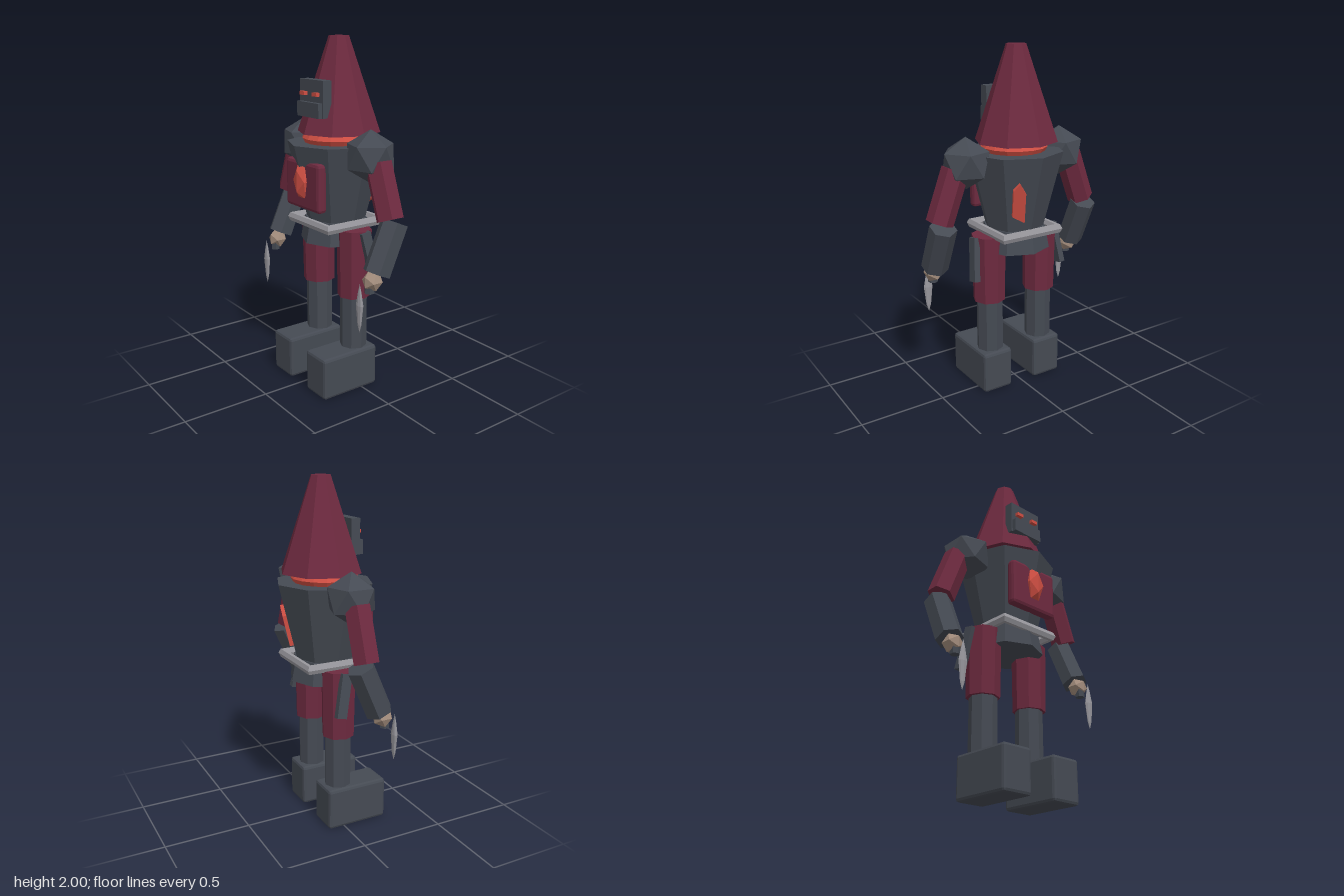
import * as THREE from 'three';
import { RoundedBoxGeometry } from 'three/addons/geometries/RoundedBoxGeometry.js';

const paint = (name, color) => {
  const m = new THREE.MeshStandardMaterial({ color, flatShading: true });
  m.name = name;
  return m;
};

export function createModel() {
  const slate = paint('slate', 0x454a53);
  const maroon = paint('maroon', 0x6d2a3f);
  const red = paint('glowing red', 0xd04f43);
  const steel = paint('steel', 0x98979d);
  const tan = paint('tan', 0xa18b7b);

  const model = new THREE.Group();
  model.name = 'hoodedFigure';

  const add = (name, geometry, material, x, y, z) => {
    const mesh = new THREE.Mesh(geometry, material);
    mesh.name = name;
    mesh.position.set(x, y, z);
    model.add(mesh);
    return mesh;
  };
  const tube = (top, bottom, height, sides) =>
    new THREE.CylinderGeometry(top, bottom, height, sides);
  const box = (w, h, d, bevel) => new RoundedBoxGeometry(w, h, d, 1, bevel);

  // Tall hood and collar
  add('hood', tube(0.056, 0.235, 0.525, 8), maroon, 0, 1.7375, -0.02);
  add('collar', new THREE.TorusGeometry(0.155, 0.035, 6, 16), red, 0, 1.445, 0)
    .rotation.x = Math.PI / 2;

  // Face plate, muzzle and eyes
  add('facePlate', new THREE.BoxGeometry(0.222, 0.2, 0.055), slate, 0, 1.67, 0.137);
  add('muzzle', new THREE.BoxGeometry(0.204, 0.08, 0.04), slate, 0, 1.61, 0.17);

  // Tapered torso, hips and square belt
  add('torso', tube(0.28, 0.165, 0.46, 8), slate, 0, 1.19, 0);
  add('hips', tube(0.18, 0.206, 0.13, 8), slate, 0, 0.92, 0);
  const beltShape = new THREE.TorusGeometry(0.255, 0.028, 6, 4);
  beltShape.rotateZ(Math.PI / 4).rotateX(Math.PI / 2);
  add('belt', beltShape, steel, 0, 0.97, 0);

  // Chest plate with its gem
  add('chestPlate', box(0.325, 0.275, 0.06, 0.02), maroon, 0, 1.197, 0.205);
  add('chestGem', new THREE.IcosahedronGeometry(1, 0), red, 0, 1.222, 0.232)
    .scale.set(0.062, 0.115, 0.042);

  // Shard set into one facet of the back
  const shardShape = new THREE.Shape([
    [-0.035, -0.08], [0.035, -0.12], [0.035, 0.06], [0.0, 0.12], [-0.035, 0.08],
  ].map(([x, y]) => new THREE.Vector2(x, y)));
  const shard = add('backShard',
    new THREE.ExtrudeGeometry(shardShape, { depth: 0.035, bevelEnabled: false }),
    red, 0.085, 1.17, -0.17);
  shard.rotation.set(0.22, Math.PI - 0.39, 0, 'YXZ');

  // Icosahedron turned so that one corner points straight up
  const shoulderShape = new THREE.IcosahedronGeometry(0.145, 0);
  shoulderShape.rotateZ(-Math.atan2(1, (1 + Math.sqrt(5)) / 2));

  // Flattened dagger blade, pointed at both ends
  const bladeShape = new THREE.LatheGeometry([
    [0, 0.475], [0.015, 0.52], [0.028, 0.63], [0.014, 0.7], [0, 0.75],
  ].map(([x, y]) => new THREE.Vector2(x, y)), 8);
  bladeShape.scale(1, 1, 0.5);

  for (const s of [1, -1]) {
    const side = s > 0 ? 'left' : 'right';

    add(side + 'Eye', new THREE.BoxGeometry(0.044, 0.02, 0.024), red, s * 0.058, 1.695, 0.175);

    // Arm
    add(side + 'Shoulder', shoulderShape, slate, s * 0.312, 1.38, 0);
    add(side + 'UpperArm', tube(0.077, 0.077, 0.305, 6), maroon, s * 0.43, 1.21, 0)
      .rotation.z = s * 0.355;
    add(side + 'Forearm', tube(0.077, 0.077, 0.29, 6), slate, s * 0.478, 0.918, 0.025)
      .rotation.x = -0.42;
    add(side + 'Hand', new THREE.IcosahedronGeometry(0.058, 0), tan, s * 0.475, 0.75, 0.108);

    // Dagger
    add(side + 'DaggerGrip', tube(0.028, 0.028, 0.06, 6), slate, s * 0.472, 0.715, 0.125);
    add(side + 'DaggerBlade', bladeShape, steel, s * 0.472, 0, 0.19);

    // Leg
    add(side + 'Thigh', tube(0.1, 0.094, 0.395, 8), maroon, s * 0.174, 0.7525, 0);
    add(side + 'Shin', tube(0.078, 0.078, 0.33, 8), slate, s * 0.171, 0.395, 0);
    add(side + 'Boot', box(0.188, 0.246, 0.372, 0.017), slate, s * 0.173, 0.123, 0.086);

    // Narrow plate hanging from the hip
    add(side + 'HipPlate', new THREE.BoxGeometry(0.035, 0.25, 0.06), slate, s * 0.282, 0.825, -0.025)
      .rotation.set(0.2, 0, s * 0.12);
  }
  return model;
}
